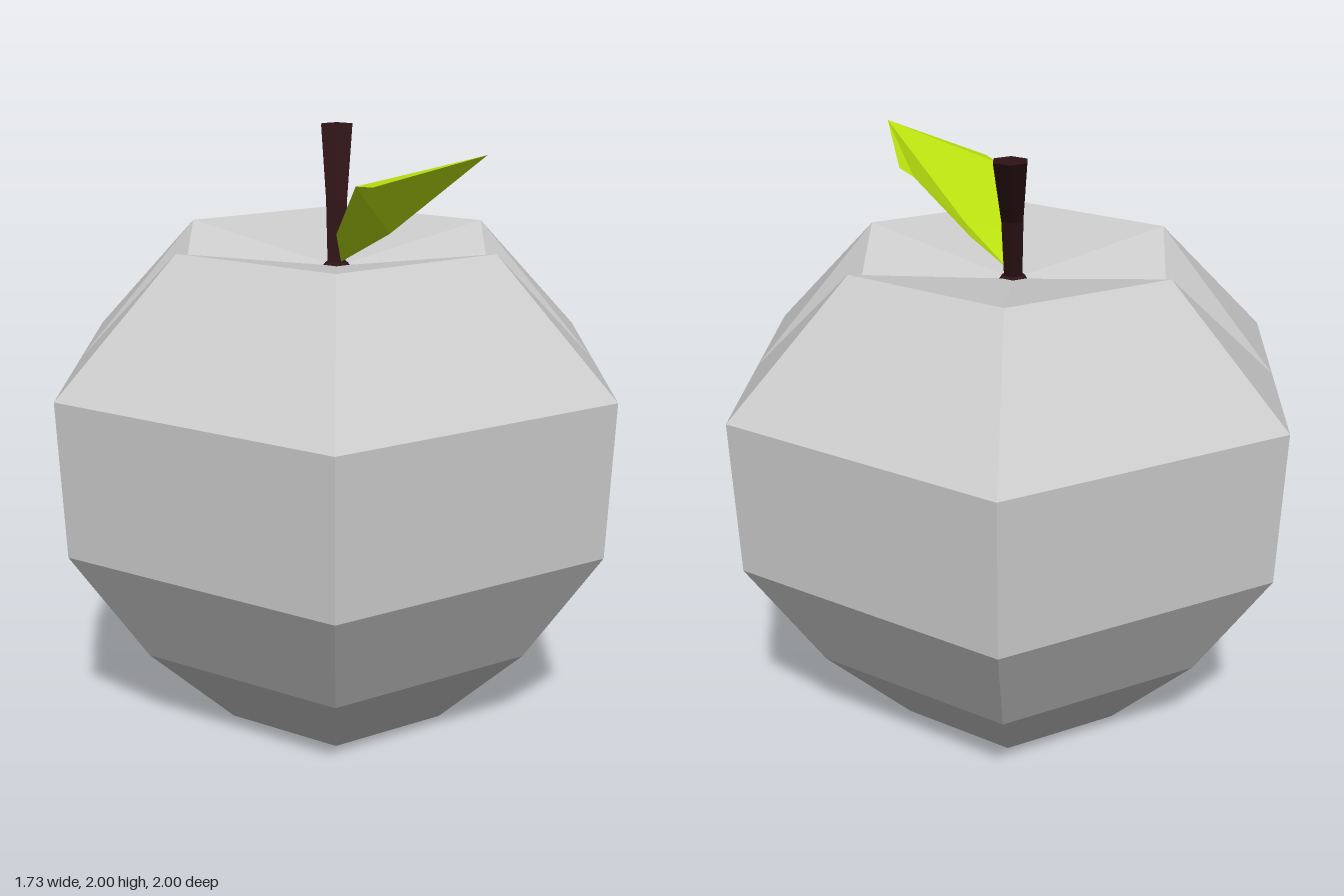
import * as THREE from 'three';

const V = (x, y, z) => new THREE.Vector3(x, y, z);

// Flat-shaded mesh from a list of triangle corners
function facetMesh(name, points, color, side = THREE.FrontSide) {
  const geometry = new THREE.BufferGeometry().setFromPoints(points);
  geometry.computeVertexNormals();
  const mesh = new THREE.Mesh(geometry, new THREE.MeshStandardMaterial({ color, side, flatShading: true }));
  mesh.name = name;
  return mesh;
}

// Skin rings (listed bottom to top, running from +z towards +x) and close both ends.
// slant(row, i) picks which diagonal splits each quad.
function loft(rings, bottom, top, slant = () => false) {
  const tris = [], n = rings[0].length, last = rings.length - 1;
  for (let i = 0; i < n; i++) {
    const j = (i + 1) % n;
    tris.push(bottom, rings[0][j], rings[0][i]);
    for (let r = 0; r < last; r++) {
      const a = rings[r][i], b = rings[r][j], c = rings[r + 1][j], d = rings[r + 1][i];
      tris.push(...(slant(r, i) ? [a, b, d, b, c, d] : [a, b, c, a, c, d]));
    }
    tris.push(top, rings[last][i], rings[last][j]);
  }
  return tris;
}

function createFruit() {
  // Hexagon corners plus a mid-side point on the left and right sides
  const angles = [0, 60, 90, 120, 180, 240, 270, 300];
  const isMid = i => angles[i % 8] === 90 || angles[i % 8] === 270;
  // radius, height, height of the mid-side points (dipped at both ends)
  const profile = [
    [0.415, 0, 0.13], [0.72, 0.31, 0.31], [0.983, 0.72, 0.72],
    [1, 1.24, 1.24], [0.577, 1.66, 1.56],
  ];
  const rings = profile.map(([r, y, midY]) => angles.map((deg, i) => {
    const t = THREE.MathUtils.degToRad(deg);
    const radius = isMid(i) ? r * Math.cos(Math.PI / 6) : r;
    return V(radius * Math.sin(t), isMid(i) ? midY : y, radius * Math.cos(t));
  }));
  const slant = (row, i) => (row >= 2) === isMid(i + 1);
  return facetMesh('fruit', loft(rings, V(0, 0.13, 0), V(0, 1.56, 0), slant), 0xcccccc);
}

function createStem() {
  // height, z offset, radius: flared foot, bent shaft, wider tip
  const sections = [[1.555, 0, 0.06], [1.575, 0, 0.034], [1.775, -0.058, 0.04], [2, -0.195, 0.06]];
  const rings = sections.map(([y, z, r]) => Array.from({ length: 6 }, (_, i) => {
    const t = i * Math.PI / 3;
    return V(r * Math.sin(t), y, z + r * Math.cos(t));
  }));
  return facetMesh('stem', loft(rings, V(0, 1.555, 0), V(0, 2, -0.195)), 0x2e1416);
}

function createLeaf() {
  const base = V(0.015, 1.58, 0.03), rib = V(0.17, 1.7, 0.17), tip = V(0.45, 1.985, 0.42);
  // Each half fans out from the lowered midrib, with a curled facet near the tip
  const half = (p, q, s) => [base, rib, p, p, rib, q, q, rib, tip, q, tip, s];
  const right = half(V(0.14, 1.69, 0.03), V(0.33, 1.87, 0.1), V(0.385, 1.88, 0.175));
  const left = half(V(0, 1.69, 0.13), V(0.06, 1.87, 0.29), V(0.11, 1.88, 0.37));
  // The left half is a mirror image, so its corners run the other way
  return facetMesh('leaf', [...right, ...left.reverse()], 0xb9df10, THREE.DoubleSide);
}

export function createModel() {
  const group = new THREE.Group();
  group.name = 'apple';
  group.add(createFruit(), createStem(), createLeaf());
  return group;
}
